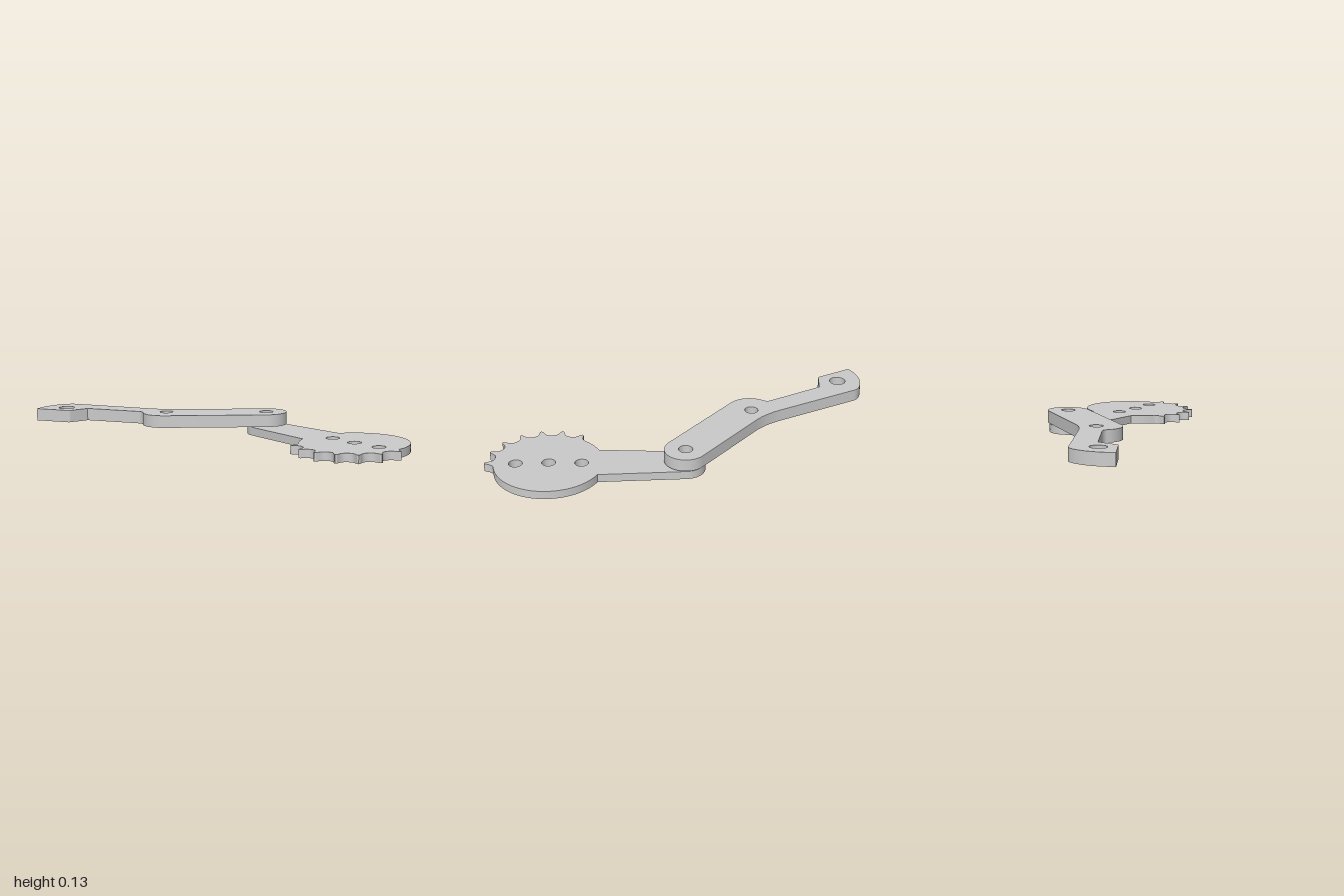
import * as THREE from 'three';
import { toCreasedNormals } from 'three/addons/utils/BufferGeometryUtils.js';

const rad = THREE.MathUtils.degToRad;
const PIVOT = [0.294, 0.02];

// Shapes are drawn in plan as (x, -z), then laid flat and tilted slightly along x.
function plate(name, shape, holes, bottom, thickness, slope) {
  for (const [x, y, r] of holes) {
    shape.holes.push(new THREE.Path().absarc(x, y, r, 0, Math.PI * 2, true));
  }
  let geo = new THREE.ExtrudeGeometry(shape, { depth: thickness, bevelEnabled: false, curveSegments: 32 });
  geo.rotateX(-Math.PI / 2);
  const p = geo.attributes.position;
  for (let i = 0; i < p.count; i++) p.setY(i, p.getY(i) + bottom + slope * p.getX(i));
  geo = toCreasedNormals(geo, 0.45);
  const mesh = new THREE.Mesh(geo, new THREE.MeshStandardMaterial({ color: 0xcccccc }));
  mesh.name = name;
  return mesh;
}

// Lower lever: rounded arm running into a disc with teeth on one quarter
function toothedLever() {
  const [cx, cy, r] = [0.288, -0.672, 0.279];
  const s = new THREE.Shape();
  s.moveTo(0.413, -0.42);
  s.lineTo(0.396, -0.02);
  s.absarc(PIVOT[0], PIVOT[1], 0.1, 0, Math.PI, false);
  s.lineTo(0.19, -0.04);
  s.lineTo(0.167, -0.42);
  s.absarc(cx, cy, r, rad(115.6), rad(142), false);
  const at = (deg, radius) => s.lineTo(cx + radius * Math.cos(rad(deg)), cy + radius * Math.sin(rad(deg)));
  for (let a = 150; a <= 270; a += 20) {
    for (const [da, tr] of [[-7.5, 0.279], [-5, 0.285], [-3.2, 0.297], [-1.4, 0.32], [0, 0.326],
      [1.4, 0.32], [3.2, 0.297], [5, 0.285], [7.5, 0.279]]) at(a + da, tr);
  }
  s.absarc(cx, cy, r, rad(278), rad(423.6), false);
  const holes = [[...PIVOT, 0.036], [0.294, -0.505, 0.035], [0.288, -0.672, 0.035], [0.294, -0.839, 0.035]];
  return plate('toothedLever', s, holes, 0.0006, 0.044, 0.02);
}

// Upper link: bent bar with a rounded pivot, a middle lobe and a hooked end
function bentLink() {
  const s = new THREE.Shape();
  s.absarc(PIVOT[0], PIVOT[1], 0.109, rad(-129), rad(51), false);
  s.lineTo(0.008, 0.392);
  s.quadraticCurveTo(-0.06, 0.447, -0.108, 0.54);
  s.lineTo(-0.315, 0.943);
  s.quadraticCurveTo(-0.325, 0.965, -0.34, 0.975);
  s.bezierCurveTo(-0.39, 1.005, -0.485, 1.012, -0.574, 0.952);
  s.lineTo(-0.483, 0.781);
  s.quadraticCurveTo(-0.478, 0.772, -0.466, 0.772);
  s.lineTo(-0.363, 0.767);
  s.lineTo(-0.214, 0.492);
  s.quadraticCurveTo(-0.2, 0.468, -0.217, 0.445);
  s.bezierCurveTo(-0.25, 0.4, -0.252, 0.325, -0.193, 0.275);
  s.closePath();
  const holes = [[...PIVOT, 0.036], [-0.108, 0.378, 0.035], [-0.431, 0.873, 0.043]];
  return plate('bentLink', s, holes, 0.0543, 0.065, 0.0145);
}

export function createModel() {
  const group = new THREE.Group();
  group.name = 'leverLinkage';
  group.add(toothedLever(), bentLink());
  return group;
}
